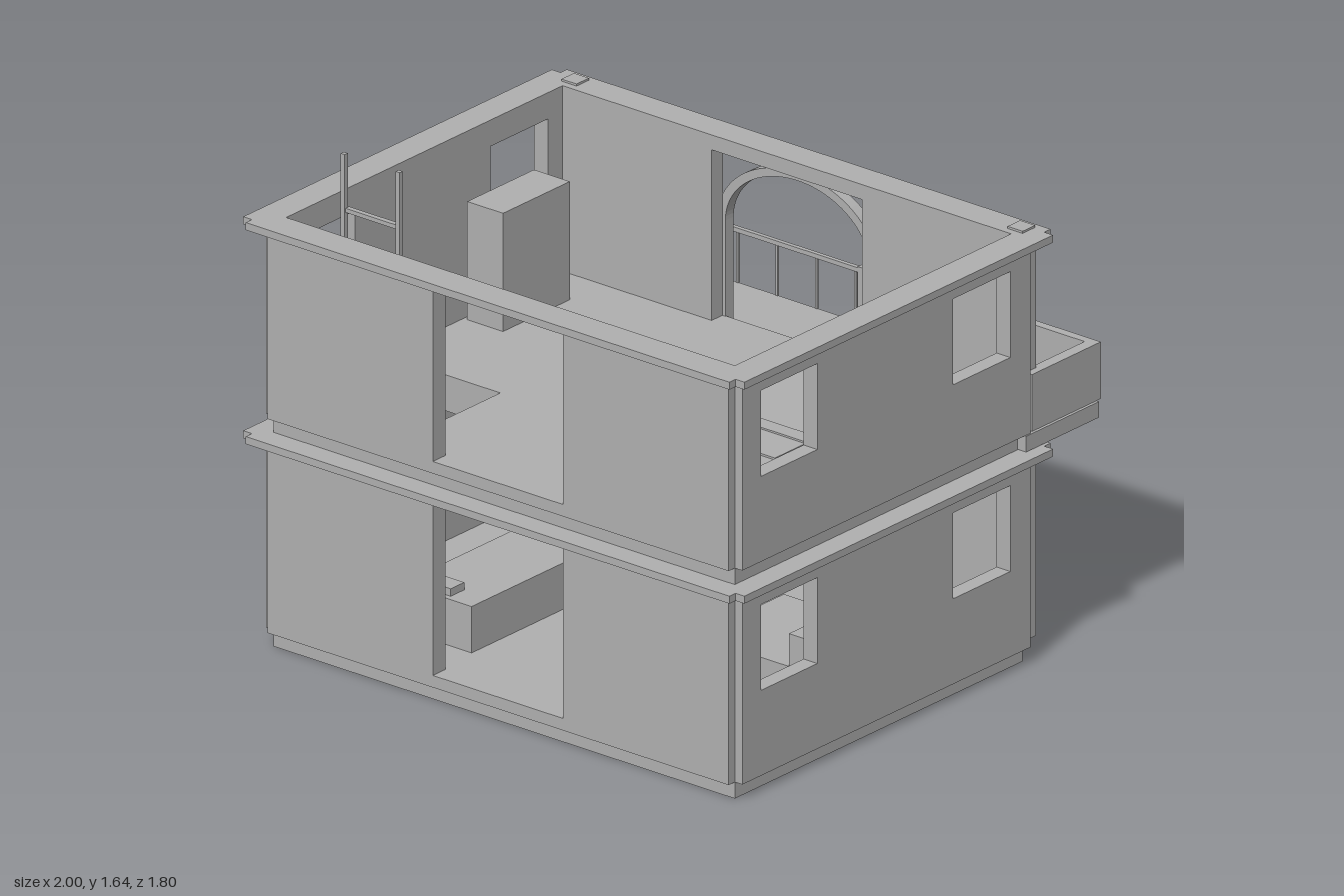
import * as THREE from 'three';

export function createModel() {
  const model = new THREE.Group();
  const plaster = new THREE.MeshStandardMaterial({ color: 0xb0b0b0 });
  plaster.name = 'grey plaster';

  const add = (name, geo, parent = model) => {
    const mesh = new THREE.Mesh(geo, plaster);
    mesh.name = name;
    parent.add(mesh);
    return mesh;
  };
  const group = (name) => {
    const g = new THREE.Group();
    g.name = name;
    model.add(g);
    return g;
  };
  // Box from its limits on each axis
  const box = (name, x0, x1, y0, y1, z0, z1, parent) => add(name,
    new THREE.BoxGeometry(x1 - x0, y1 - y0, z1 - z0)
      .translate((x0 + x1) / 2, (y0 + y1) / 2, (z0 + z1) / 2), parent);
  // Extruded outline with rectangular holes, each rectangle being [u0, u1, v0, v1]
  const loop = ([u0, u1, v0, v1]) => [[u0, v0], [u1, v0], [u1, v1], [u0, v1]].map((p) => new THREE.Vector2(...p));
  const panel = (points, holes, depth) => {
    const shape = new THREE.Shape(points);
    holes.forEach((h) => shape.holes.push(new THREE.Path(loop(h))));
    return new THREE.ExtrudeGeometry(shape, { depth, bevelEnabled: false, curveSegments: 24 });
  };
  const plate = (name, points, holes, y0, y1, parent) =>
    add(name, panel(points, holes, y1 - y0).rotateX(Math.PI / 2).translate(0, y1, 0), parent);

  // Cornice outline with notched corners
  const corniceOutline = [
    [-0.965, -0.64], [0.965, -0.64], [0.965, -0.61], [1, -0.61], [1, 0.87], [0.965, 0.87],
    [0.965, 0.9], [-0.965, 0.9], [-0.965, 0.87], [-1, 0.87], [-1, -0.61], [-0.965, -0.61],
  ].map((p) => new THREE.Vector2(...p));
  const room = [-0.895, 0.895, -0.535, 0.79];
  const stairwell = [-0.83, -0.44, 0.31, 0.725];

  // Foundation and floors
  box('foundation', -0.92, 0.92, 0, 0.055, -0.56, 0.82);
  box('groundFloor', -0.9, 0.9, 0.055, 0.095, -0.54, 0.8);
  plate('middleCornice', corniceOutline, [stairwell], 0.69, 0.715);
  plate('storeySlab', loop([-0.92, 0.92, -0.56, 0.82]), [stairwell], 0.715, 0.77);
  plate('upperFloor', loop([-0.9, 0.9, -0.54, 0.8]), [stairwell], 0.77, 0.81);
  plate('roofCornice', corniceOutline, [room], 1.405, 1.43);

  // Two storeys of walls
  [0, 0.715].forEach((y, i) => {
    const storey = group(i ? 'upperStorey' : 'lowerStorey');
    const y0 = y + 0.055, y1 = y + 0.69;
    const face = loop([-0.92, 0.92, y0, y1]);
    add('frontWall', panel(face, [[-0.26, 0.26, y + 0.095, y + 0.665]], 0.06).translate(0, 0, 0.79), storey);
    add('backWall', panel(face, [[-0.3, 0.3, y + 0.095, y + 0.665]], 0.055).translate(0, 0, -0.59), storey);
    const windows = [[0.46, 0.73], [-0.465, -0.19]].map(([a, b]) => [a, b, y + 0.34, y + 0.627]);
    [-1, 1].forEach((s) => {
      add('sideWall', panel(loop([-0.563, 0.82, y0, y1]), windows, 0.055)
        .rotateY(-Math.PI / 2).translate(s > 0 ? 0.95 : -0.895, 0, 0), storey);
      box('backPilaster', s * 0.885 - 0.035, s * 0.885 + 0.035, y0 + 0.01, y1, -0.625, -0.585, storey);
    });

    // Arched door surround
    const c = y + 0.415;
    const arch = new THREE.Shape();
    arch.moveTo(0.32, y0);
    arch.lineTo(0.32, c);
    arch.absellipse(0, c, 0.32, 0.24, 0, Math.PI, false);
    arch.lineTo(-0.32, y0);
    arch.lineTo(-0.288, y0);
    arch.lineTo(-0.288, c);
    arch.absellipse(0, c, 0.288, 0.213, Math.PI, 0, true);
    arch.lineTo(0.288, y0);
    add('archSurround', new THREE.ExtrudeGeometry(arch, { depth: 0.04, bevelEnabled: false, curveSegments: 24 })
      .translate(0, 0, -0.626), storey);
  });
  [-1, 1].forEach((s) => box('pilasterCap', s * 0.89 - 0.03, s * 0.89 + 0.03, 1.42, 1.437, -0.62, -0.56));

  // Balcony: half solid parapet, half open railing
  const balcony = group('balcony');
  box('balconySlab', -0.955, 0.955, 0.717, 0.77, -0.885, -0.535, balcony);
  [-1, 1].forEach((s) => box('endParapet', s * 0.925 - 0.02, s * 0.925 + 0.02, 0.77, 0.96, -0.9, -0.575, balcony));
  box('frontParapet', 0, 0.945, 0.77, 0.96, -0.905, -0.875, balcony);
  box('handrail', -0.91, 0, 0.94, 0.955, -0.892, -0.877, balcony);
  for (let i = 0; i < 6; i++) {
    const x = -0.015 - i * 0.157;
    box('railingBar', x - 0.004, x + 0.004, 0.77, 0.945, -0.889, -0.881, balcony);
  }

  // Ladder through the stairwell
  const ladder = group('ladder');
  [-0.757, -0.538].forEach((x) => {
    box('ladderRail', x - 0.008, x + 0.008, 0.095, 1.645, 0.67, 0.685, ladder);
    box('ladderBracket', x - 0.007, x + 0.007, 0.81, 0.822, 0.68, 0.757, ladder);
  });
  for (let y = 0.21; y < 1.46; y += 0.124) box('ladderRung', -0.757, -0.538, y, y + 0.014, 0.662, 0.68, ladder);

  // Bed
  const bed = group('bed');
  box('bedBase', 0.305, 0.705, 0.81, 0.87, 0.17, 0.7, bed);
  box('mattress', 0.305, 0.705, 0.87, 0.925, 0.17, 0.69, bed);
  box('blanket', 0.3, 0.71, 0.86, 0.932, 0.165, 0.375, bed);
  box('foldedThrow', 0.298, 0.712, 0.86, 0.938, 0.175, 0.23, bed);
  box('headboard', 0.298, 0.715, 0.81, 1.11, 0.69, 0.715, bed);
  [0.325, 0.523].forEach((x) => box('pillow', x, x + 0.16, 0.925, 0.965, 0.56, 0.66, bed));

  // Nightstands with lamps
  [0.22, 0.787].forEach((x) => {
    const stand = group('nightstand');
    box('nightstandBody', x - 0.05, x + 0.05, 0.81, 0.925, 0.56, 0.67, stand);
    add('lampStem', new THREE.CylinderGeometry(0.024, 0.024, 0.1, 24).translate(x, 0.972, 0.615), stand);
    add('lampShade', new THREE.CylinderGeometry(0.048, 0.048, 0.055, 32).translate(x, 1.045, 0.615), stand);
  });

  // Wardrobe
  box('wardrobe', -0.88, -0.737, 0.81, 1.205, -0.38, -0.06);

  // Upper couch facing the balcony
  const couch = group('upperCouch');
  box('couchSeat', 0.4, 0.815, 0.81, 0.9, -0.34, -0.145, couch);
  box('couchBack', 0.4, 0.815, 0.9, 1.02, -0.195, -0.145, couch);
  [0.45, 0.625].forEach((x) => box('couchCushion', x, x + 0.14, 0.9, 0.925, -0.33, -0.2, couch));

  // Lower couches
  const left = group('lowerCouchEast');
  box('couchSeat', 0.35, 0.8, 0.095, 0.22, -0.1, 0.32, left);
  box('couchBack', 0.72, 0.8, 0.22, 0.33, -0.1, 0.32, left);
  const right = group('lowerCouchWest');
  box('couchSeat', -0.56, -0.28, 0.095, 0.25, 0.05, 0.64, right);
  box('couchCushion', -0.52, -0.38, 0.25, 0.275, 0.555, 0.62, right);

  return model;
}
